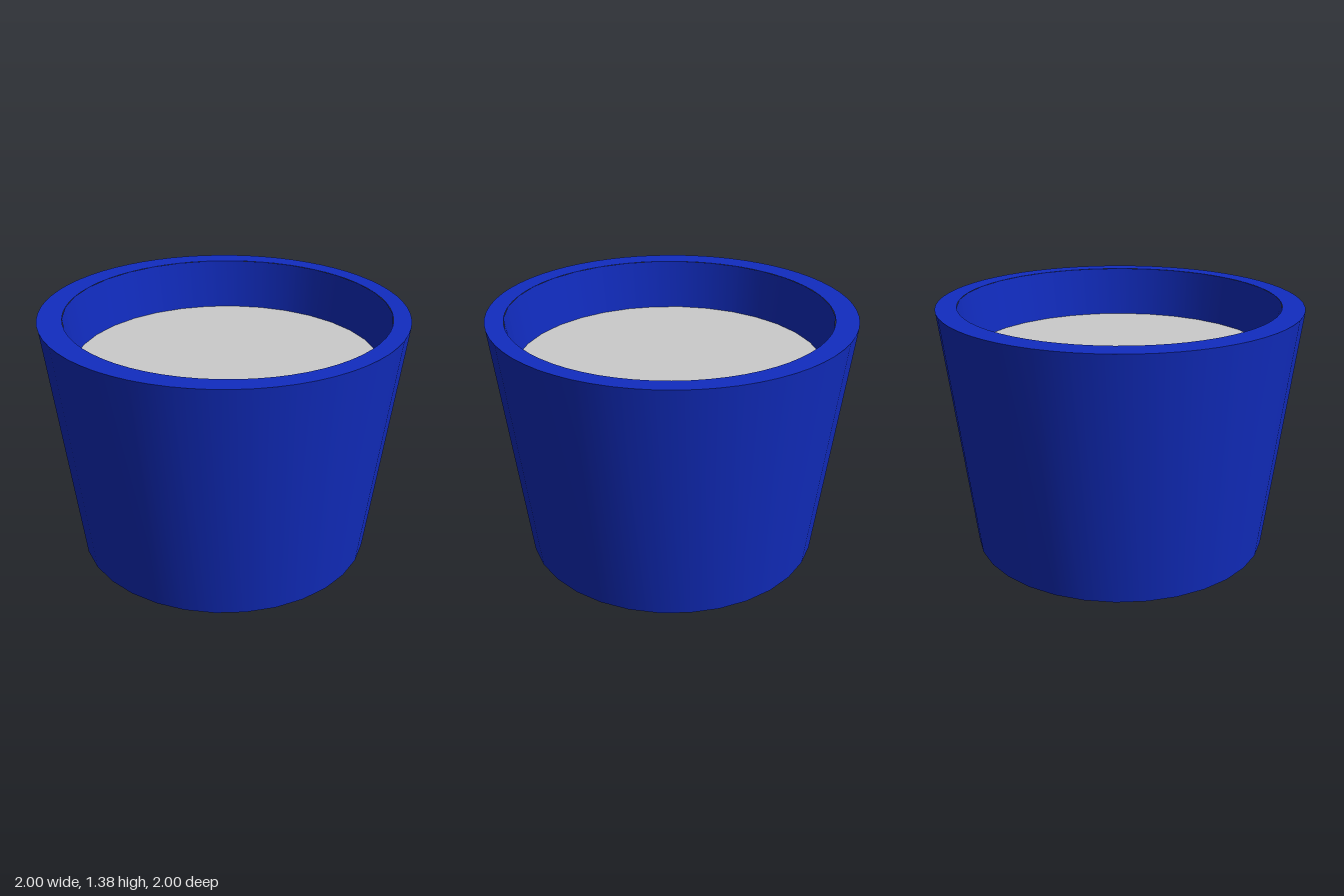
import * as THREE from 'three';
import { toCreasedNormals } from 'three/addons/utils/BufferGeometryUtils.js';

const SIDES = 32;
const HEIGHT = 1.385;
const RIM_R = 1, BASE_R = 0.835;
const FLOOR_Y = 0.12, FILL_Y = 1.1;
const CAVITY_X = 0.02; // the cavity sits slightly off centre

// Cavity radius at a given height
const cavityR = (y) => 0.885 - (HEIGHT - y) * 0.123;

function lathe(points) {
  const profile = points.map(([r, y]) => new THREE.Vector2(r, y));
  return toCreasedNormals(new THREE.LatheGeometry(profile, SIDES), 0.6);
}

export function createModel() {
  const group = new THREE.Group();
  const blue = new THREE.MeshStandardMaterial({ color: 0x112cc0 });
  const grey = new THREE.MeshStandardMaterial({ color: 0xcccccc });

  const add = (name, geometry, material, x = 0, y = 0) => {
    const mesh = new THREE.Mesh(geometry, material);
    mesh.name = name;
    mesh.position.set(x, y, 0);
    group.add(mesh);
  };

  // Tapered outer wall with closed base
  add('outerWall', lathe([[0, 0], [BASE_R, 0], [RIM_R, HEIGHT]]), blue);

  // Flat rim: outer circle with the off-centre cavity cut out
  const rim = new THREE.Shape().absarc(0, 0, RIM_R, 0, Math.PI * 2);
  rim.holes.push(new THREE.Path().absarc(CAVITY_X, 0, cavityR(HEIGHT), 0, Math.PI * 2, true));
  const rimGeometry = new THREE.ShapeGeometry(rim, SIDES).rotateX(-Math.PI / 2);
  add('rim', rimGeometry, blue, 0, HEIGHT);

  // Inner wall, running down to the floor
  const inner = [[cavityR(HEIGHT), HEIGHT], [cavityR(FLOOR_Y), FLOOR_Y], [0, FLOOR_Y]];
  add('innerWall', lathe(inner), blue, CAVITY_X);

  // Filling inside the pot
  const fillH = FILL_Y - FLOOR_Y;
  const fill = new THREE.CylinderGeometry(cavityR(FILL_Y), cavityR(FLOOR_Y), fillH, SIDES);
  add('filling', fill, grey, CAVITY_X, FLOOR_Y + fillH / 2);

  return group;
}
